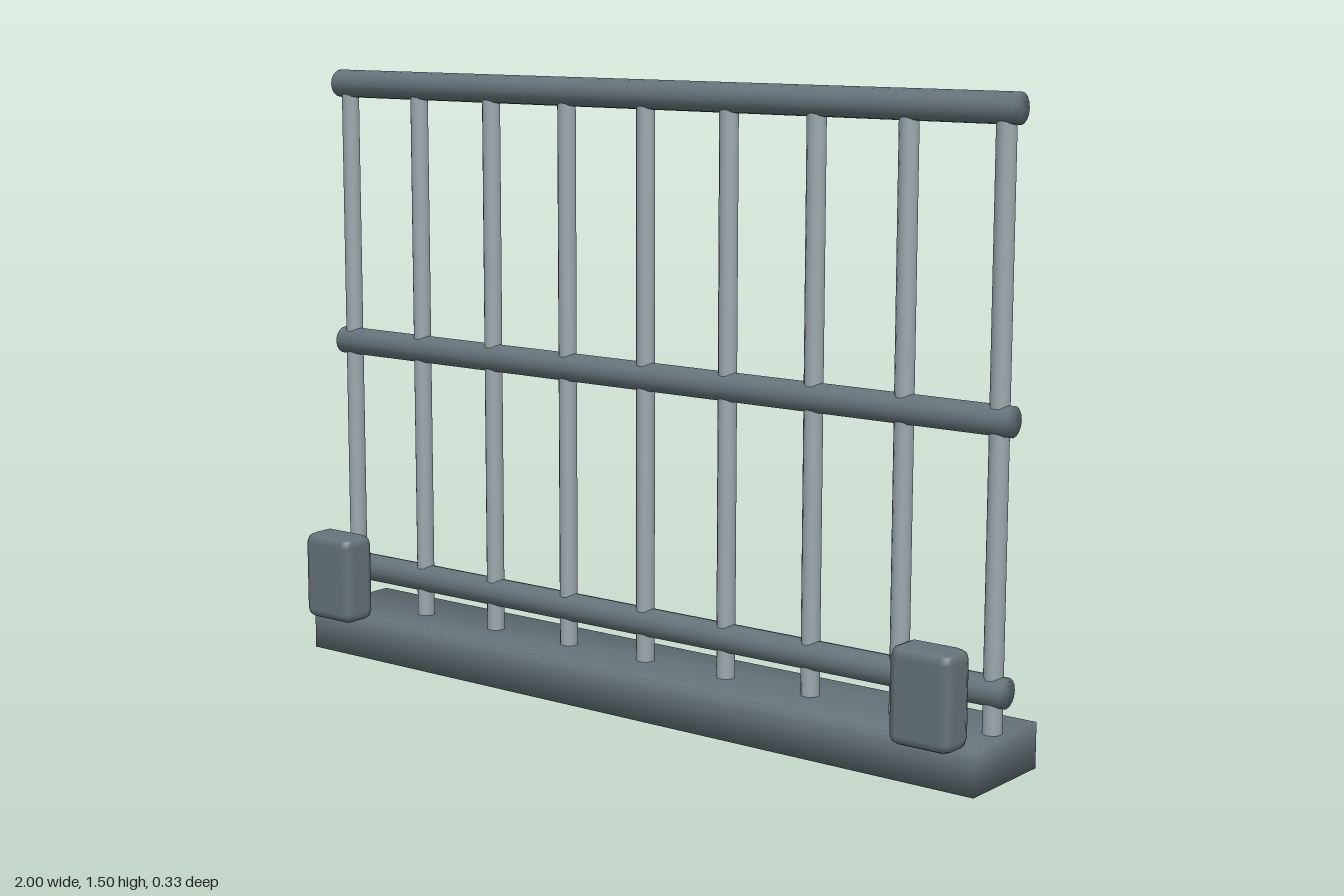
import * as THREE from 'three';
import { mergeVertices } from 'three/addons/utils/BufferGeometryUtils.js';
import { RoundedBoxGeometry } from 'three/addons/geometries/RoundedBoxGeometry.js';

const RAIL_Z = -0.03;

// Weld corners so the shading runs smoothly over every edge
function soften(geometry) {
  geometry.deleteAttribute('normal');
  geometry.deleteAttribute('uv');
  const welded = mergeVertices(geometry, 1e-4);
  welded.computeVertexNormals();
  return welded;
}

export function createModel() {
  const model = new THREE.Group();
  model.name = 'railing';
  const darkSteel = new THREE.MeshStandardMaterial({ color: 0x66737a });
  darkSteel.name = 'dark steel';
  const paleSteel = new THREE.MeshStandardMaterial({ color: 0x9ca8ae });
  paleSteel.name = 'pale steel';

  function add(name, geometry, material, x, y, z) {
    const mesh = new THREE.Mesh(geometry, material);
    mesh.name = name;
    mesh.position.set(x, y, z);
    model.add(mesh);
  }

  // Base beam
  add('base', soften(new THREE.BoxGeometry(2, 0.107, 0.267)), darkSteel, 0, 0.0535, -0.032);

  // Three horizontal rails
  const rail = soften(new THREE.CylinderGeometry(0.035, 0.035, 2, 16).rotateZ(Math.PI / 2));
  for (const y of [0.203, 0.803, 1.47]) add('rail', rail, darkSteel, 0, y, RAIL_Z);

  // Nine upright bars from the base to the top rail
  const bar = soften(new THREE.CylinderGeometry(0.0225, 0.0225, 1.37, 12));
  for (let i = -4; i <= 4; i++) add('bar', bar, paleSteel, i * 0.2415, 0.785, RAIL_Z);

  // Chamfered blocks at the front corners
  const block = new RoundedBoxGeometry(0.16, 0.226, 0.098, 1, 0.026);
  for (const side of [-1, 1]) add('cornerBlock', block, darkSteel, side * 0.893, 0.211, 0.117);

  return model;
}
